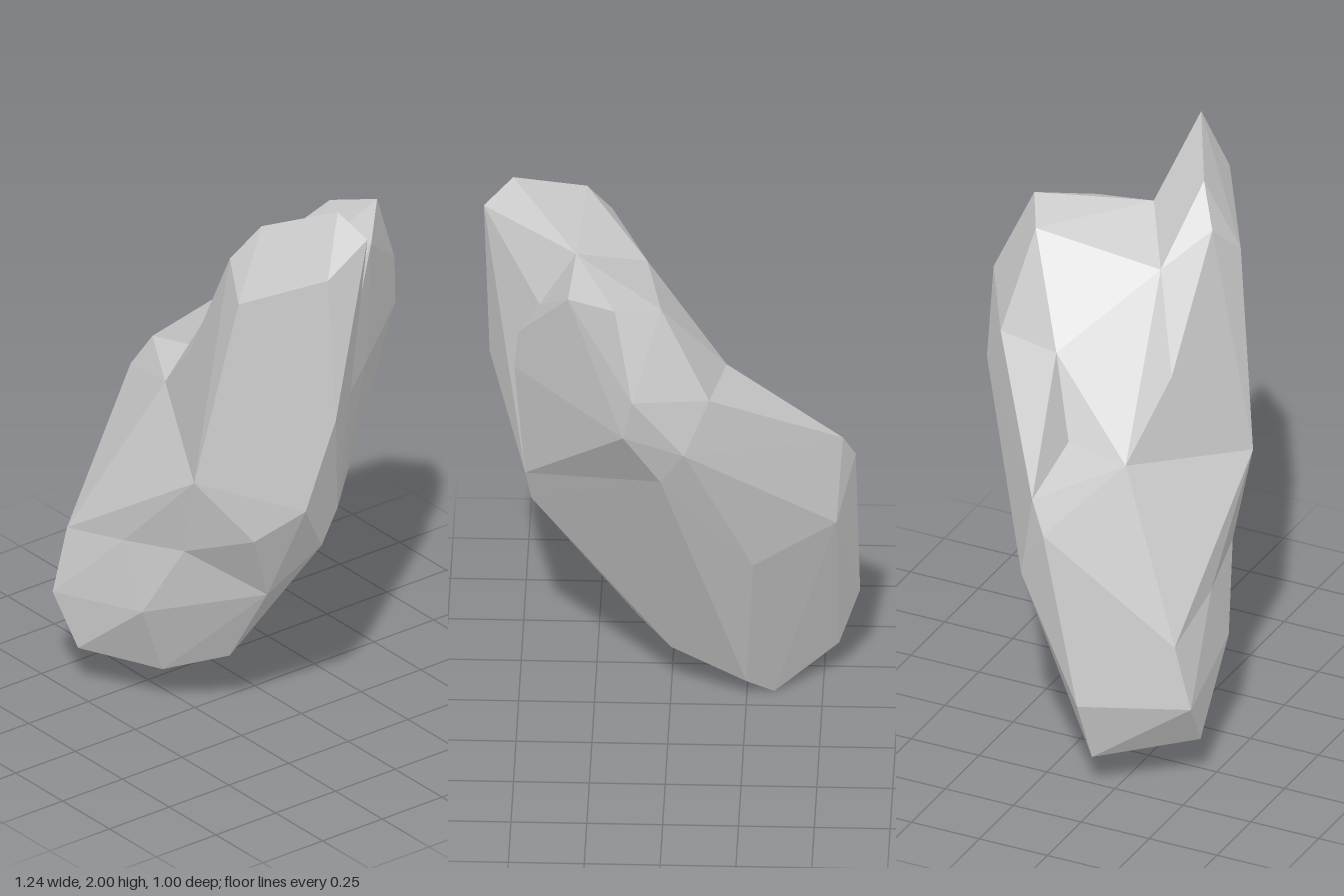
import * as THREE from 'three';
import { ConvexGeometry } from 'three/addons/geometries/ConvexGeometry.js';

// Corner points of the boulder, grouped by region so neighbouring chunks share them
const crest = [
  [0.52, 2, 0.06], [0.615, 1.92, 0.01], [0.28, 1.89, 0.19], [0.57, 1.79, 0.14],
  [0.31, 1.65, 0.31], [0.2, 1.76, 0.26], [0.6, 1.59, 0.08],
];
const crestRoot = [[0.31, 1.75, -0.01], [0.43, 1.57, -0.04], [0.6, 1.28, 0.13]];
const saddle = [[0.08, 1.64, 0.13], [-0.04, 1.32, 0.23]];
const backLobe = [
  [0.02, 1.72, -0.3], [0.17, 1.76, -0.38], [0.11, 1.48, -0.5], [0.14, 1.33, -0.48],
  [0.33, 1.71, -0.23], [0.38, 1.31, -0.17], [0.12, 1.7, -0.12],
];
const lobeFoot = [[-0.14, 1.4, -0.35], [-0.19, 1.4, -0.12]];
const chest = [[0.2, 0.97, 0.41], [0.54, 0.94, 0.21], [0.48, 0.87, 0.03]];
const waistFront = [[-0.26, 1.08, 0.17]];
const waistBack = [[-0.28, 1.13, -0.03], [-0.06, 1.24, -0.44], [0.02, 1.12, -0.41]];
const ledgeFront = [[-0.61, 0.96, 0.04], [-0.62, 0.35, 0.17]];
const ledgeBack = [[-0.57, 1.06, -0.02], [-0.42, 1.1, -0.13]];
const backMiddle = [[-0.55, 0.76, -0.07], [-0.28, 0.67, -0.2]];
const bellyTop = [[0.38, 0.79, 0.3]];
const bellyCrease = [
  [0.46, 0.74, 0.08], [0.31, 0.53, 0.19], [0.11, 0.67, 0.38], [-0.15, 0.62, 0.43],
  [-0.44, 0.55, 0.44],
];
const foot = [
  [-0.04, 0.4, 0.44], [-0.44, 0.33, 0.5], [0.11, 0.22, 0.19], [-0.07, 0.14, 0.33],
  [-0.33, 0.16, 0.48], [-0.1, 0.1, 0.14], [-0.55, 0.13, 0.19],
];
const heel = [[0, 0.19, 0.05], [-0.25, 0.08, 0.02], [-0.34, 0, 0.09]];

export function createModel() {
  const group = new THREE.Group();
  group.name = 'boulder';
  const stone = new THREE.MeshStandardMaterial({ color: 0xcccccc, flatShading: true });

  // Each chunk is the faceted convex hull of its regions
  const addChunk = (name, ...regions) => {
    const points = regions.flat().map((p) => new THREE.Vector3(...p));
    const mesh = new THREE.Mesh(new ConvexGeometry(points), stone);
    mesh.name = name;
    group.add(mesh);
  };

  addChunk('peak', crest, crestRoot, saddle, chest);
  addChunk('rearShoulder', backLobe, lobeFoot, crestRoot, saddle, chest, waistFront, waistBack);
  addChunk('backRim', lobeFoot, waistBack, ledgeBack, backMiddle);
  addChunk('middle', chest, waistFront, waistBack, ledgeFront, ledgeBack, backMiddle,
    bellyTop, bellyCrease, heel);
  addChunk('base', bellyCrease, ledgeFront.slice(1), backMiddle, foot, heel);
  return group;
}
